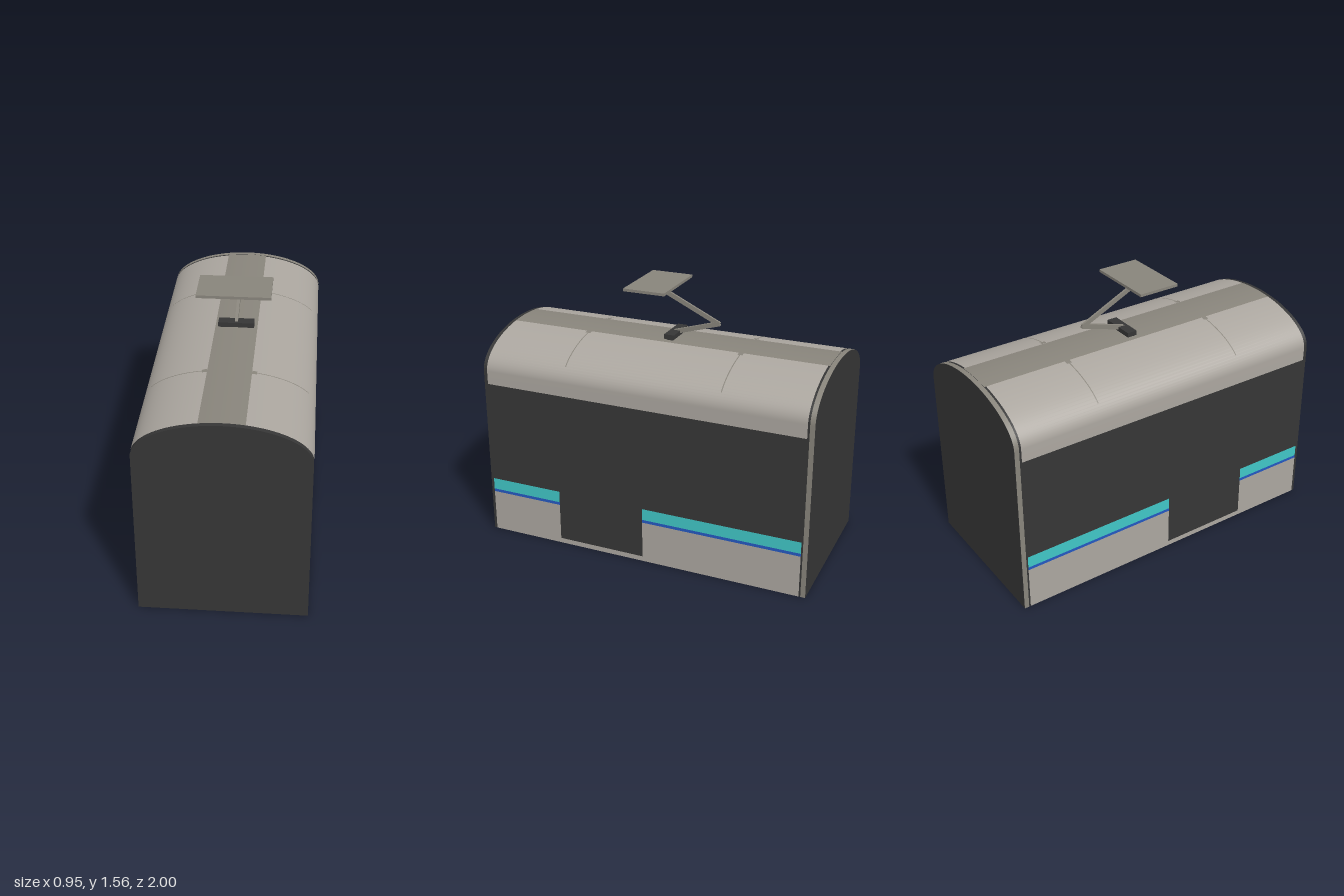
import * as THREE from 'three';

const material = (name, color) => {
  const m = new THREE.MeshStandardMaterial({ color });
  m.name = name;
  return m;
};

// Body section: slightly tapered walls under a half-elliptical roof
const SPRING = 1.04, RISE = 0.21, HALF = 0.466;
const RIDGE = Math.acos(0.12 / HALF); // angle where the roof walkway starts
const wallPoint = (y, d = 0) => new THREE.Vector2(HALF + 0.007 * (1 - y / SPRING) + d, y);
const roofPoint = (t, d = 0) =>
  new THREE.Vector2((HALF + d) * Math.cos(t), SPRING + (RISE + d) * Math.sin(t));
const roofArc = (t0, t1, n, d) =>
  Array.from({ length: n + 1 }, (_, i) => roofPoint(t0 + (t1 - t0) * i / n, d));
const mirrored = points => points.map(p => new THREE.Vector2(-p.x, p.y)).reverse();

// Sweep a section line along z between z0 (rear) and z1 (front)
function sweep(points, z0, z1) {
  const positions = [], index = [];
  points.forEach((p, i) => {
    positions.push(p.x, p.y, z1, p.x, p.y, z0);
    if (i) {
      const a = 2 * (i - 1);
      index.push(a, a + 1, a + 3, a, a + 3, a + 2);
    }
  });
  const g = new THREE.BufferGeometry();
  g.setAttribute('position', new THREE.Float32BufferAttribute(positions, 3));
  g.setIndex(index);
  g.computeVertexNormals();
  return g;
}

export function createModel() {
  const dark = material('charcoal', 0x363636);
  const light = material('light grey', 0xaba69f);
  const grey = material('mid grey', 0x88847b);
  const teal = material('teal', 0x40c6c6);
  const blue = material('blue', 0x2458c0);

  const model = new THREE.Group();
  model.name = 'tramSection';
  const add = (name, geometry, mat, parent = model) => {
    const mesh = new THREE.Mesh(geometry, mat);
    mesh.name = name;
    parent.add(mesh);
    return mesh;
  };
  const addBothSides = (name, points, z0, z1, mat) => {
    add(name + 'Left', sweep(points, z0, z1), mat);
    add(name + 'Right', sweep(mirrored(points), z0, z1), mat);
  };

  // Solid charcoal body: ends, floor, window band and doors
  const section = new THREE.Shape([
    wallPoint(0), ...roofArc(0, Math.PI, 40, 0), new THREE.Vector2(-wallPoint(0).x, 0),
  ]);
  const body = new THREE.ExtrudeGeometry(section, { depth: 2, bevelEnabled: false });
  body.translate(0, 0, -1);
  add('body', body, dark);

  // Roof: light shoulders with a darker walkway along the middle
  const D = 0.002;
  addBothSides('roofShoulder',
    [wallPoint(0.96, D), ...roofArc(0, RIDGE, 20, D)], -0.96, 0.977, light);
  add('roofWalkway', sweep(roofArc(RIDGE, Math.PI - RIDGE, 8, D), -0.97, 0.977), grey);

  // Cross seams and small brackets on the roof
  for (const z of [-0.465, 0.477]) {
    addBothSides('roofSeam', roofArc(0.42, RIDGE, 14, D + 0.001), z - 0.003, z + 0.003, grey);
    addBothSides('roofBracket', roofArc(RIDGE - 0.06, RIDGE, 3, D + 0.0015),
      z - 0.015, z + 0.015, grey);
  }

  // Rear rim
  const half = [wallPoint(0, D), wallPoint(SPRING, D), ...roofArc(0.05, Math.PI - 0.05, 36, D)];
  add('rearRim', sweep([...half, ...mirrored([wallPoint(0, D), wallPoint(SPRING, D)])],
    -1, -0.972), grey);

  // Lower panels with stripes, either side of the doorway
  for (const [z0, z1] of [[-0.962, -0.01], [0.53, 0.982]]) {
    addBothSides('lowerPanel', [wallPoint(0, D), wallPoint(0.255, D)], z0, z1, light);
    addBothSides('blueStripe', [wallPoint(0.255, D), wallPoint(0.273, D)], z0, z1, blue);
    addBothSides('tealStripe', [wallPoint(0.273, D), wallPoint(0.343, D)], z0, z1, teal);
  }
  addBothSides('doorSill', [wallPoint(0, D), wallPoint(0.03, D)], -0.01, 0.53, light);

  // Folding current collector on the roof
  const collector = new THREE.Group();
  collector.name = 'currentCollector';
  model.add(collector);
  const box = (name, w, h, d, y, z, mat) => {
    const mesh = add(name, new THREE.BoxGeometry(w, h, d), mat, collector);
    mesh.position.set(0, y, z);
    return mesh;
  };
  const arm = (name, y0, z0, y1, z1, width, thick) => {
    const length = Math.hypot(y1 - y0, z1 - z0);
    box(name, width, thick, length, (y0 + y1) / 2, (z0 + z1) / 2, grey)
      .rotation.x = -Math.atan2(y1 - y0, z1 - z0);
  };
  box('collectorFoot', 0.18, 0.02, 0.04, 1.25, -0.02, dark);
  box('collectorBase', 0.205, 0.027, 0.06, 1.27, -0.02, dark);
  arm('lowerArm', 1.355, -0.29, 1.27, -0.01, 0.018, 0.026);
  arm('upperArm', 1.35, -0.288, 1.532, 0.1, 0.013, 0.026);
  box('headMount', 0.12, 0.01, 0.06, 1.53, 0.085, dark);
  box('headUnderside', 0.35, 0.012, 0.21, 1.538, 0.09, dark);
  box('collectorHead', 0.41, 0.016, 0.25, 1.55, 0.09, grey);

  return model;
}
